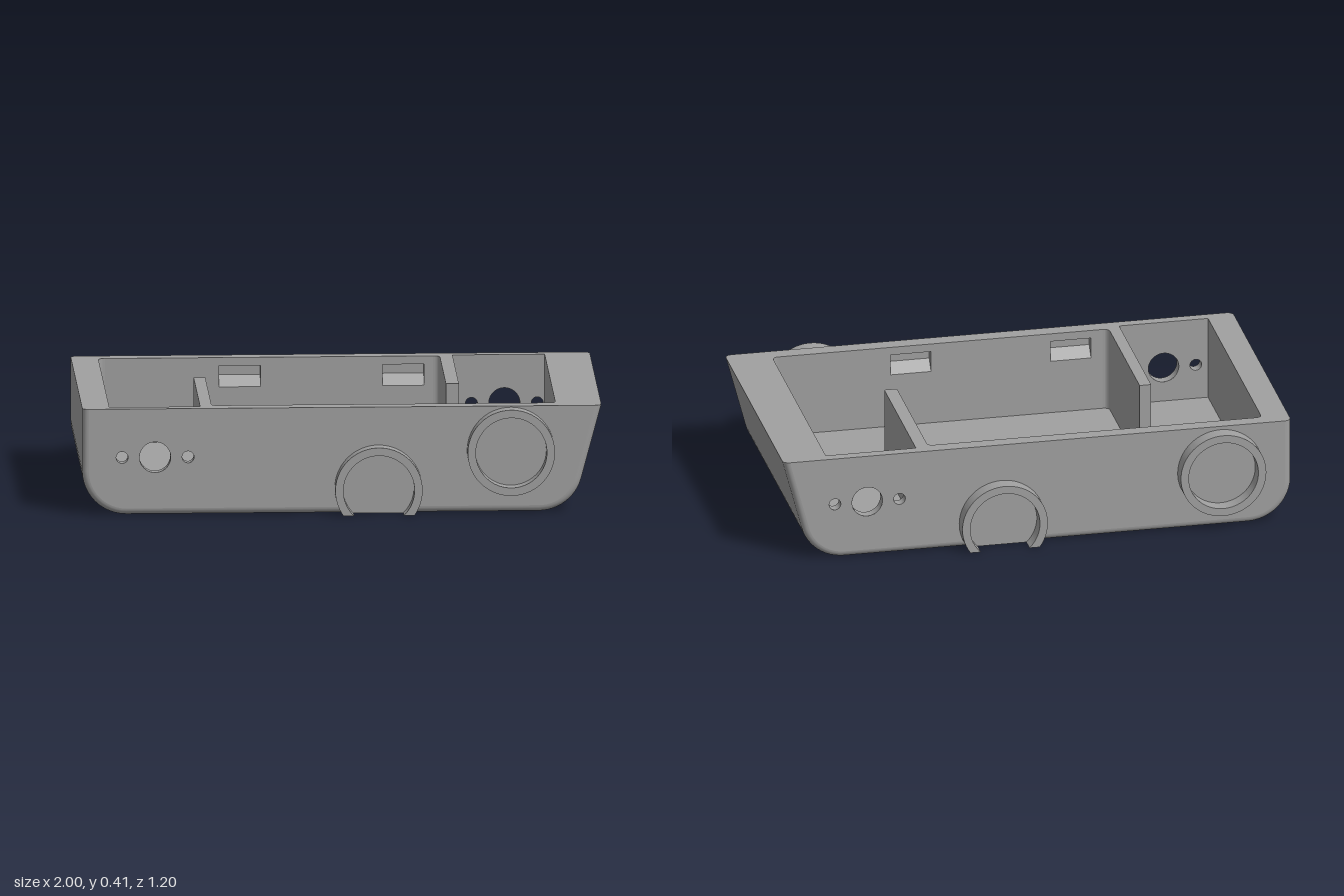
import * as THREE from 'three';
import { toCreasedNormals } from 'three/addons/utils/BufferGeometryUtils.js';

const TOP = 0.415, FLOOR = 0.085, HALF = 0.54, EDGE = 0.025, CORNER = 0.17;
const SLANT = THREE.MathUtils.degToRad(15);
const RING_R = 0.168, RING_IN = 0.137, HOLE_Y = 0.225;

const material = new THREE.MeshStandardMaterial({ color: 0xa0a0a0, side: THREE.DoubleSide });
material.name = 'grey plastic';

function part(name, geometry, parent) {
  const mesh = new THREE.Mesh(geometry, material);
  mesh.name = name;
  parent.add(mesh);
  return mesh;
}

// Smooth surface through a list of equal-length point rows
function loft(rows) {
  const n = rows[0].length, index = [];
  for (let r = 0; r < rows.length - 1; r++) {
    for (let i = 0; i < n - 1; i++) {
      const a = r * n + i, b = a + n;
      index.push(a, b, a + 1, b, b + 1, a + 1);
    }
  }
  const g = new THREE.BufferGeometry().setFromPoints(rows.flat());
  g.setIndex(index);
  g.computeVertexNormals();
  return g;
}

// Side profile of the tub, shrunk by an inset: left wall, floor, slanted right wall
function profile(inset) {
  const r = CORNER - inset, pts = [new THREE.Vector2(-1 + inset, TOP)];
  const rightTan = 1 - (TOP - CORNER) * Math.tan(SLANT) - CORNER / Math.cos(SLANT);
  for (let i = 0; i <= 12; i++) {
    const a = Math.PI + (i / 12) * Math.PI / 2;
    pts.push(new THREE.Vector2(-1 + CORNER + r * Math.cos(a), CORNER + r * Math.sin(a)));
  }
  for (let i = 0; i <= 12; i++) {
    const a = -Math.PI / 2 + (i / 12) * (Math.PI / 2 - SLANT);
    pts.push(new THREE.Vector2(rightTan + r * Math.cos(a), CORNER + r * Math.sin(a)));
  }
  pts.push(new THREE.Vector2(1 - inset / Math.cos(SLANT), TOP));
  return pts;
}

function circle(x, y, r) {
  return new THREE.Path().absarc(x, y, r, 0, Math.PI * 2, true);
}

function rect(x0, x1, y0, y1) {
  return [[x0, y0], [x1, y0], [x1, y1], [x0, y1]].map(p => new THREE.Vector2(...p));
}

// Cavity outline in (x, z), with the two dividers left standing
function cavityOutline() {
  const corners = [
    [-0.895, 0.5, 0], [-0.895, -0.485, 1], [0.42, -0.485, 1], [0.42, 0.08, 0], [0.47, 0.08, 0], [0.47, -0.5, 0],
    [0.825, -0.5, 0], [0.825, 0.48, 1], [-0.5, 0.48, 1], [-0.5, -0.085, 0], [-0.545, -0.085, 0], [-0.545, 0.5, 0],
  ];
  const out = [], r = 0.025;
  corners.forEach(([x, z, round], i) => {
    const p = new THREE.Vector2(x, z);
    if (!round) return out.push(p);
    const toward = j => new THREE.Vector2(...corners[j].slice(0, 2)).sub(p).setLength(r).add(p);
    out.push(...new THREE.QuadraticBezierCurve(toward(i - 1), p, toward(i + 1)).getPoints(5));
  });
  return out;
}

const WINDOWS = [-0.35, 0.28];
const WIN = { w: 0.16, y0: 0.3, y1: 0.383, depth: 0.035 };
const HOLES = [
  { side: 1, x: -0.72 },
  { side: -1, x: 0.67 },
].map(h => ({ ...h, circles: [[h.x - 0.127, 0.023], [h.x, 0.06], [h.x + 0.127, 0.023]] }));

// Round collar or its inner disc, cut off at the ground
function clippedRound(cy, rOut, rIn) {
  const s = new THREE.Shape(), a = Math.asin(Math.min(1, cy / rOut));
  const full = cy >= rOut;
  if (full) {
    s.absarc(0, cy, rOut, 0, Math.PI * 2);
    if (rIn) s.holes.push(circle(0, cy, rIn));
  } else {
    s.absarc(0, cy, rOut, -a, Math.PI + a);
    if (rIn) {
      const b = Math.asin(cy / rIn);
      s.absarc(0, cy, rIn, Math.PI + b, -b, true);
    }
    s.closePath();
  }
  return s;
}

function addCollar(parent, x, cy, side) {
  const g = new THREE.Group();
  g.name = 'roundCollar';
  const solid = (rOut, rIn, depth) => toCreasedNormals(new THREE.ExtrudeGeometry(
    clippedRound(cy, rOut, rIn), { depth, bevelEnabled: false, curveSegments: 48 }), 0.5);
  part('collarRing', solid(RING_R, RING_IN, 0.1), g);
  part('collarDisc', solid(RING_IN, 0, 0.042), g);
  g.position.set(x, 0, side * 0.5);
  if (side < 0) g.rotation.y = Math.PI;
  parent.add(g);
}

// Catch pocket: open box with a sloping lower face
function pocketGeometry() {
  const h = WIN.y1 - WIN.y0;
  const g = new THREE.BoxGeometry(WIN.w, h, WIN.depth);
  const p = g.attributes.position;
  for (let i = 0; i < p.count; i++) {
    if (p.getY(i) < 0 && p.getZ(i) < 0) p.setY(i, 0);
  }
  const idx = Array.from(g.index.array);
  idx.splice(24, 6);
  g.setIndex(idx);
  g.clearGroups();
  g.computeVertexNormals();
  return g.translate(0, (WIN.y0 + WIN.y1) / 2, -WIN.depth / 2);
}

export function createModel() {
  const model = new THREE.Group();
  model.name = 'openEnclosure';

  // Outer skin with rounded front and back edges
  const rows = [];
  for (const side of [-1, 1]) {
    for (let i = 0; i <= 6; i++) {
      const a = (side < 0 ? 6 - i : i) / 6 * Math.PI / 2;
      const z = side * (HALF - EDGE + EDGE * Math.sin(a));
      rows.push(profile(EDGE * (1 - Math.cos(a))).map(p => new THREE.Vector3(p.x, p.y, z)));
    }
  }
  part('outerShell', loft(rows), model);

  // Front and back faces, pierced by the screw and cable holes
  for (const { side, circles } of HOLES) {
    const s = new THREE.Shape(profile(EDGE));
    circles.forEach(([x, r]) => s.holes.push(circle(x, HOLE_Y, r)));
    const g = new THREE.ShapeGeometry(s, 24);
    if (side < 0) g.scale(-1, 1, 1).rotateY(Math.PI);
    if (side < 0) {
      // turn the faces outward again after mirroring
      g.index.array.reverse();
      g.computeVertexNormals();
    }
    part(side > 0 ? 'frontFace' : 'backFace', g.translate(0, 0, side * HALF), model);
    for (const [x, r] of circles) {
      const bore = new THREE.CylinderGeometry(r, r, HALF - 0.5, 32, 1, true).rotateX(Math.PI / 2);
      part('holeBore', bore, model).position.set(x, HOLE_Y, side * (HALF + 0.5) / 2);
    }
  }

  // Rim around the cavity, including the divider tops
  const outline = cavityOutline();
  const flat = pts => pts.map(p => new THREE.Vector2(p.x, -p.y));
  const rimPts = [...rows.map(r => r[0]), ...rows.map(r => r[r.length - 1]).reverse()]
    .map(p => new THREE.Vector2(p.x, p.z));
  const rim = new THREE.Shape(flat(rimPts));
  rim.holes.push(new THREE.Path(flat(outline)));
  part('rim', new THREE.ShapeGeometry(rim).rotateX(-Math.PI / 2).translate(0, TOP, 0), model);
  part('cavityFloor', new THREE.ShapeGeometry(new THREE.Shape(flat(outline)))
    .rotateX(-Math.PI / 2).translate(0, FLOOR, 0), model);

  // Cavity walls and divider sides; long walls get pockets, end bays get holes
  outline.forEach((p, i) => {
    const q = outline[(i + 1) % outline.length];
    const side = Math.sign(p.y);
    const lengthwise = Math.abs(p.y - q.y) < 1e-6 && Math.abs(p.x - q.x) > 0.2;
    if (!lengthwise) {
      const column = v => [new THREE.Vector3(v.x, FLOOR, v.y), new THREE.Vector3(v.x, TOP, v.y)];
      part('innerWall', loft([column(q), column(p)]), model);
      return;
    }
    const wall = new THREE.Shape(rect(Math.min(p.x, q.x), Math.max(p.x, q.x), FLOOR, TOP));
    if (Math.abs(p.x - q.x) > 1) {
      for (const x of WINDOWS) {
        wall.holes.push(new THREE.Path(rect(x - WIN.w / 2, x + WIN.w / 2, WIN.y0, WIN.y1)));
        const pocket = part('catchPocket', pocketGeometry(), model);
        pocket.position.set(x, 0, p.y);
        if (side > 0) pocket.rotation.y = Math.PI;
      }
    } else {
      HOLES.find(h => h.side === side).circles.forEach(([x, r]) => wall.holes.push(circle(x, HOLE_Y, r)));
    }
    const g = new THREE.ShapeGeometry(wall, 24);
    if (side > 0) {
      g.index.array.reverse();
      g.computeVertexNormals();
    }
    part('innerWall', g.translate(0, 0, p.y), model);
  });

  // Collars on both long sides
  addCollar(model, 0.14, 0.098, 1);
  addCollar(model, 0.65, 0.242, 1);
  addCollar(model, 0.14, 0.098, -1);
  addCollar(model, -0.72, 0.233, -1);

  return model;
}
